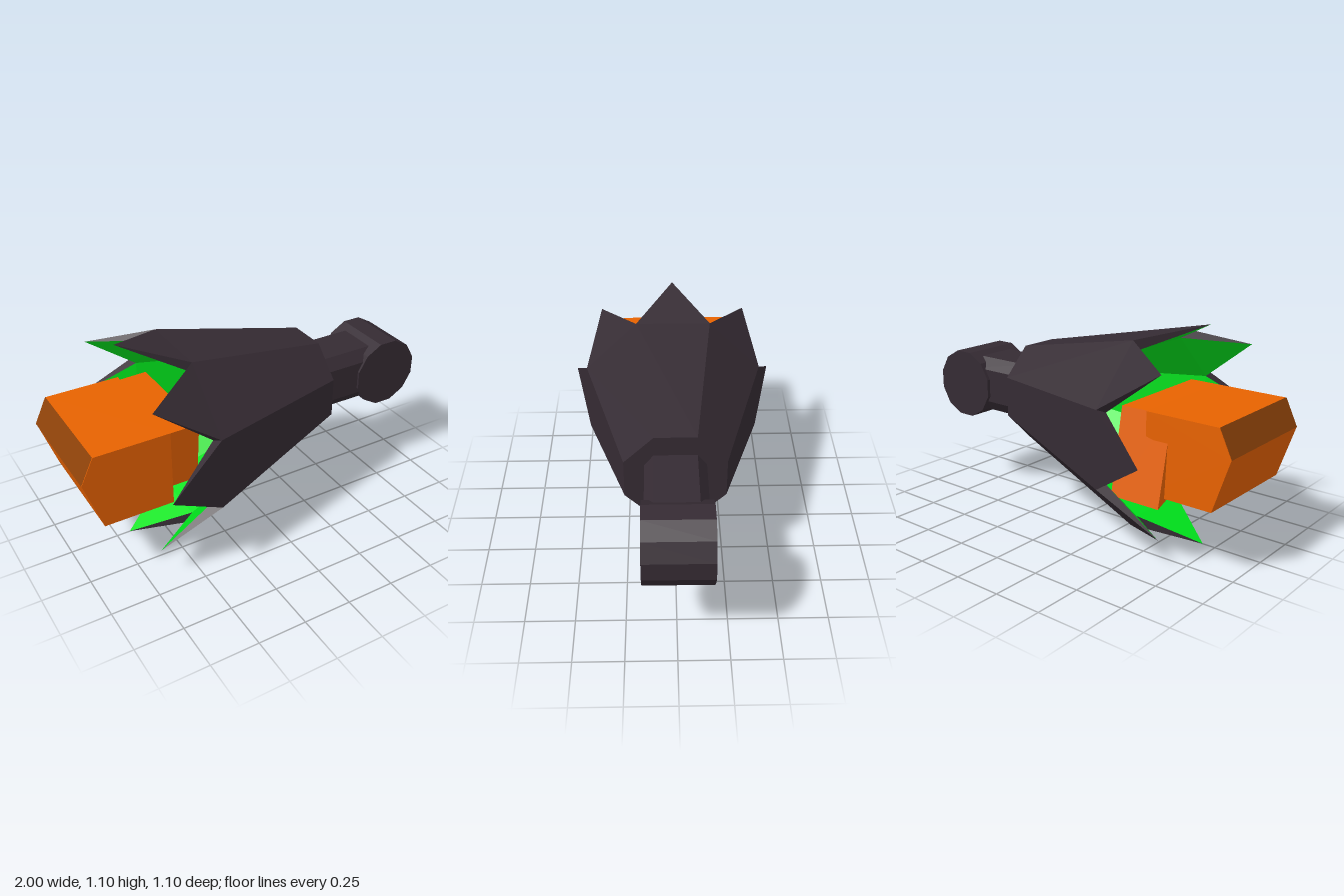
import * as THREE from 'three';

const paint = (name, color) => {
  const m = new THREE.MeshStandardMaterial({ color });
  m.name = name;
  return m;
};

// Flat-shaded mesh from a list of triangle corners
function facetMesh(name, points, material) {
  const g = new THREE.BufferGeometry().setFromPoints(points);
  g.computeVertexNormals();
  const mesh = new THREE.Mesh(g, material);
  mesh.name = name;
  return mesh;
}

const corners = (list) => list.map(([x, y, z]) => new THREE.Vector3(x, y, z));

// Cross-section of [y, z] pairs placed at x
const section = (x, pairs) => corners(pairs.map(([y, z]) => [x, y, z]));

// Octagon across the x axis, with flats or corners on top
function octagon(x, cy, r, offset) {
  return section(x, Array.from({ length: 8 }, (_, i) => {
    const a = (i + offset) * Math.PI / 4;
    return [cy + r * Math.cos(a), r * Math.sin(a)];
  }));
}

// Walls between two sections, a at the lower x
function walls(a, b) {
  return a.flatMap((p, i) => {
    const j = (i + 1) % a.length;
    return [p, a[j], b[i], a[j], b[j], b[i]];
  });
}

// End face; facing is +1 for +x and -1 for -x
function cap(ring, facing) {
  const c = ring.reduce((s, p) => s.add(p), new THREE.Vector3()).divideScalar(ring.length);
  return ring.flatMap((p, i) => {
    const q = ring[(i + 1) % ring.length];
    return facing > 0 ? [c, p, q] : [c, q, p];
  });
}

const solid = (a, b) => [...walls(a, b), ...cap(a, -1), ...cap(b, 1)];

export function createModel() {
  const dark = paint('charcoal', 0x352b33);
  const orange = paint('orange', 0xec6400);
  const brown = paint('brown', 0x8e4208);
  const green = paint('green lining', 0x00e31c);
  const model = new THREE.Group();
  model.name = 'cuffedFist';

  // Flared cuff with eight pointed petals
  const rim = octagon(-0.38, 0.555, 0.506, -0.5);
  const base = octagon(0.4, 0.62, 0.27, -0.5);
  const innerRim = octagon(-0.4, 0.555, 0.455, -0.5);
  const innerBase = octagon(0.35, 0.615, 0.22, -0.5);
  const tips = octagon(-0.68, 0.555, 0.551, 0);
  const shell = [...walls(rim, base), ...cap(base, 1)];
  const lining = [...walls(innerRim, innerBase), ...cap(innerBase, 1)].reverse();
  tips.forEach((t, i) => {
    const j = (i + 1) % 8;
    shell.push(rim[j], rim[i], t);
    // Thickness along both petal edges
    shell.push(rim[j], t, innerRim[j], rim[i], innerRim[i], t);
    lining.push(innerRim[i], innerRim[j], t);
  });
  model.add(facetMesh('petalCuff', shell, dark));
  model.add(facetMesh('cuffLining', lining, green));

  // Chamfered neck
  const neckPairs = [
    [0.765, -0.105], [0.765, 0.105], [0.705, 0.15], [0.525, 0.15],
    [0.465, 0.105], [0.465, -0.105], [0.525, -0.15], [0.705, -0.15],
  ];
  model.add(facetMesh('neck', solid(section(0.39, neckPairs), section(0.74, neckPairs)), dark));

  // Twelve-sided hinge barrel lying along z
  const barrel = new THREE.CylinderGeometry(0.189, 0.189, 0.33, 12)
    .rotateY(Math.PI / 12).rotateX(Math.PI / 2).toNonIndexed();
  barrel.computeVertexNormals();
  const hinge = new THREE.Mesh(barrel, dark);
  hinge.name = 'hingeBarrel';
  hinge.position.set(0.818, 0.604, -0.003);
  model.add(hinge);

  // Fist block with a wedge-shaped front
  const outline = new THREE.Shape([
    [-1, 0.605], [-0.91, 0.34], [-0.55, 0.34], [-0.55, 0.74], [-0.935, 0.74],
  ].map(([x, y]) => new THREE.Vector2(x, y)));
  const fist = new THREE.Mesh(
    new THREE.ExtrudeGeometry(outline, { depth: 0.6, bevelEnabled: false }).translate(0, 0, -0.315),
    orange);
  fist.name = 'fist';
  model.add(fist);

  // Darker upper knuckle face, just proud of the block
  const [k0, k1, k2, k3] = corners([
    [-1.002, 0.606, -0.315], [-1.002, 0.606, 0.285], [-0.937, 0.742, 0.285], [-0.937, 0.742, -0.315]]);
  model.add(facetMesh('knuckleFace', [k0, k1, k2, k0, k2, k3], brown));

  // Skewed heel of the hand, leaning out at the back to form the thumb
  const heelFront = corners([
    [-0.67, 0.735, -0.288], [-0.55, 0.74, 0.285], [-0.55, 0.41, 0.25], [-0.67, 0.31, -0.38]]);
  const heelBack = corners([
    [-0.4, 0.735, -0.3], [-0.4, 0.74, 0.285], [-0.4, 0.41, 0.25], [-0.4, 0.31, -0.38]]);
  model.add(facetMesh('handHeel', solid(heelFront, heelBack), orange));

  return model;
}
